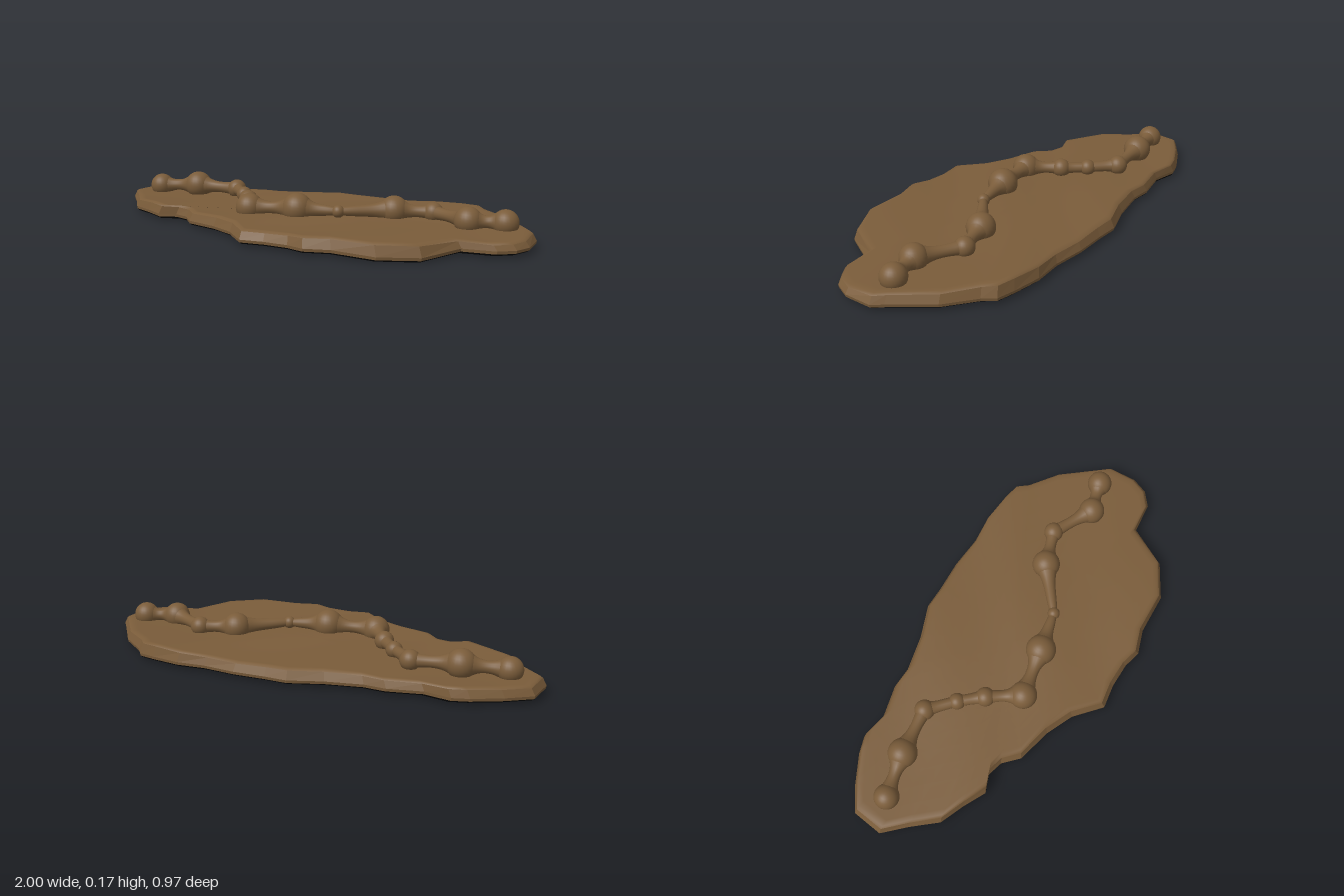
import * as THREE from 'three';

// Slab outline seen from above, [x, z], starting at the left tip and running round the back
const OUTLINE = [
  [-1, -.06], [-.91, -.14], [-.8, -.215], [-.735, -.245], [-.62, -.238], [-.48, -.29], [-.385, -.297],
  [-.235, -.35], [-.1, -.42], [0, -.43], [.14, -.452], [.285, -.457], [.41, -.484], [.54, -.484], [.62, -.478],
  [.665, -.436], [.8, -.36], [.94, -.222], [.98, -.185], [1, -.065], [.98, .01], [.925, .066], [.79, .095],
  [.72, .28], [.583, .382], [.4, .41], [.3, .457], [.22, .446], [.11, .457], [.01, .484], [-.11, .4],
  [-.235, .36], [-.39, .34], [-.46, .286], [-.53, .275], [-.6, .313], [-.7, .275], [-.81, .243],
  [-.905, .152], [-1, .073],
];

// Balls of the winding bead string: [x, y, z, radius]
const BEADS = [
  [-.87, .092, .01, .054], [-.69, .102, -.055, .063], [-.49, .095, -.104, .044], [-.375, .093, -.02, .036],
  [-.285, .093, .062, .042], [-.178, .092, .185, .06], [.03, .1, .12, .066], [.2, .096, .06, .027],
  [.37, .094, -.112, .062], [.52, .09, -.184, .043], [.715, .092, -.112, .058], [.853, .09, -.168, .055],
];

// Gentle hand-pressed undulation of the upper face
const topHeight = (x, z) => .067 + .005 * Math.sin(4.2 * x + 1.3) * Math.cos(6 * z)
  + .003 * Math.sin(11 * x + 9 * z) + .05 * z * z;

// Underside with one sagging spot
const bottomHeight = (x, z) => .012 - .012 * Math.exp(-((x - .68) ** 2 + (z - .3) ** 2) / .03);

// A ring of the outline, moved inward by inset and scaled about the centre
function ring(inset, scale, height) {
  return OUTLINE.map(([x, z]) => {
    const k = (1 - inset / Math.hypot(x, z)) * scale;
    return [x * k, height(x * k, z * k), z * k];
  });
}

// Skin over successive rings
function skin(rings) {
  const n = OUTLINE.length, index = [];
  for (let r = 0; r < rings.length - 1; r++) {
    for (let i = 0; i < n; i++) {
      const j = (i + 1) % n, a = r * n, b = a + n;
      index.push(a + j, a + i, b + i, a + j, b + i, b + j);
    }
  }
  const g = new THREE.BufferGeometry();
  g.setAttribute('position', new THREE.Float32BufferAttribute(rings.flat(2), 3));
  g.setIndex(index);
  g.computeVertexNormals();
  return g;
}

export function createModel() {
  const group = new THREE.Group();
  const brown = new THREE.MeshStandardMaterial({ color: 0x7a5c3a });
  brown.name = 'clay brown';
  const black = new THREE.MeshStandardMaterial({ color: 0x050505 });
  black.name = 'underside black';

  const add = (parent, name, geometry, material) => {
    const mesh = new THREE.Mesh(geometry, material);
    mesh.name = name;
    parent.add(mesh);
    return mesh;
  };

  // Slab: black underside, faceted rim, soft upper face
  const lower = (x, z) => bottomHeight(x, z) + .007;
  const shoulder = (x, z) => topHeight(x, z) - .008;
  add(group, 'slabUnderside', skin([
    ring(0, .002, bottomHeight), ring(0, .6, bottomHeight), ring(.012, 1, bottomHeight), ring(.002, 1, lower),
  ]), black);
  const rim = skin([
    ring(.002, 1, lower), ring(0, 1, (x, z) => lower(x, z) + .012), ring(.016, 1, shoulder),
  ]).toNonIndexed();
  rim.computeVertexNormals();
  add(group, 'slabRim', rim, brown);
  add(group, 'slabTop', skin([
    ring(.016, 1, shoulder), ring(.028, 1, topHeight),
    ...[.97, .9, .8, .7, .6, .5, .4, .3, .2, .1, .002].map(s => ring(.028, s, topHeight)),
  ]), brown);

  // Bead string: balls joined by waisted links
  const string = new THREE.Group();
  string.name = 'beadString';
  group.add(string);
  const up = new THREE.Vector3(0, 1, 0);
  BEADS.forEach(([x, y, z, r], i) => {
    add(string, 'bead', new THREE.SphereGeometry(r, 24, 16), brown).position.set(x, y, z);
    if (i === BEADS.length - 1) return;
    const [x2, y2, z2, r2] = BEADS[i + 1];
    const start = new THREE.Vector3(x, y, z);
    const span = new THREE.Vector3(x2, y2, z2).sub(start);
    const length = span.length();
    const from = r * .75, to = length - r2 * .75;
    const profile = [];
    for (let k = 0; k <= 10; k++) {
      const t = k / 10;
      const neck = .024 + (r * .66 - .024) * (1 - t) ** 4 + (r2 * .66 - .024) * t ** 4;
      profile.push(new THREE.Vector2(neck, from + (to - from) * t));
    }
    const link = add(string, 'link', new THREE.LatheGeometry(profile, 16), brown);
    link.position.copy(start);
    link.quaternion.setFromUnitVectors(up, span.normalize());
  });
  return group;
}
